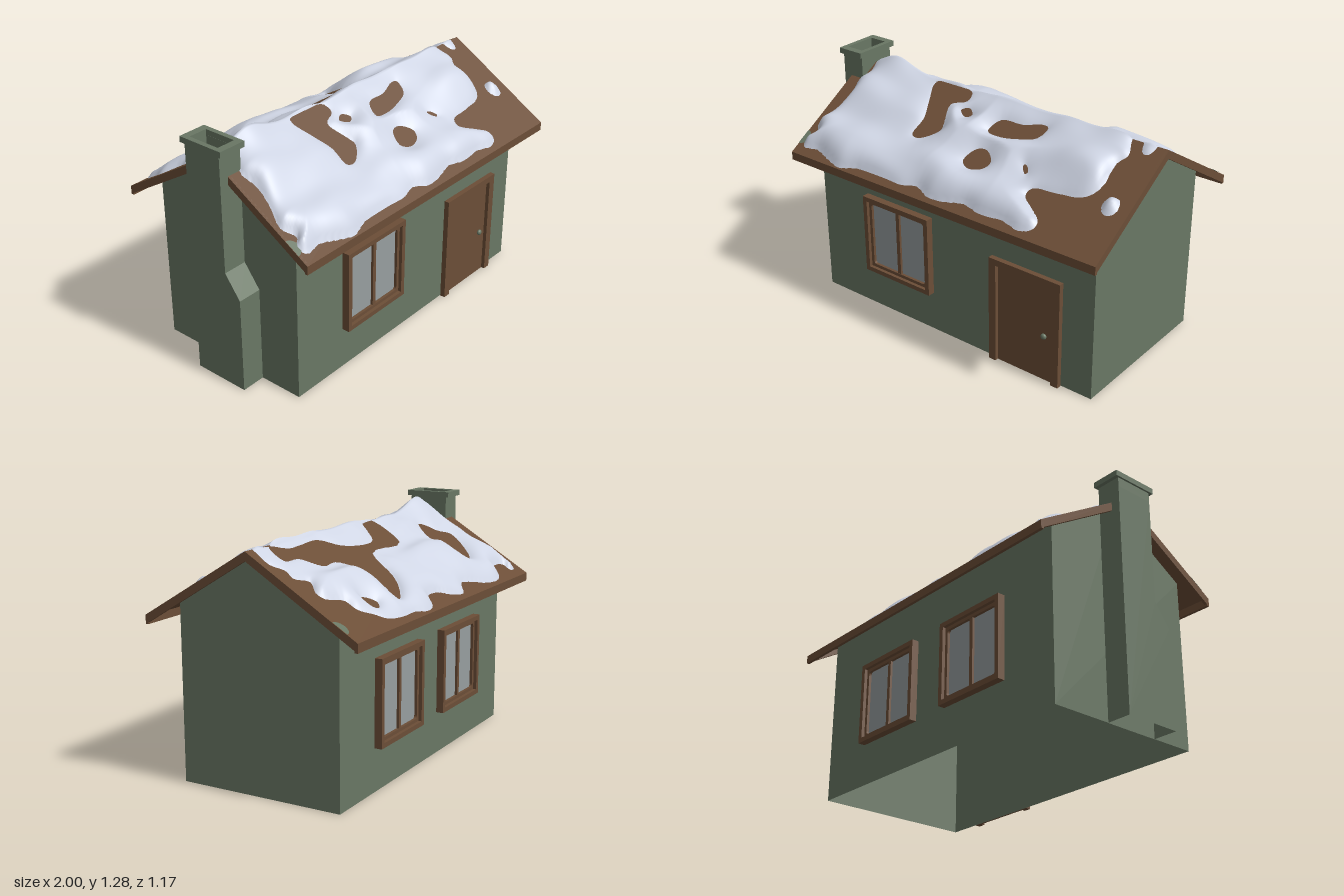
import * as THREE from 'three';

const mat = (name, color, side = THREE.FrontSide) => {
  const m = new THREE.MeshStandardMaterial({ color, side });
  m.name = name;
  return m;
};
const green = mat('wallGreen', 0x697764, THREE.DoubleSide);
const brown = mat('woodBrown', 0x6c4e37);
const white = mat('snowWhite', 0xcfd5e4, THREE.DoubleSide);
const grey = mat('glassGrey', 0x979ea0);

const RIDGE = 1.2, SLOPE = 0.607, EAVE = 0.585;
const roofY = z => RIDGE - SLOPE * Math.abs(z);

function add(parent, name, geometry, material, x = 0, y = 0, z = 0) {
  const mesh = new THREE.Mesh(geometry, material);
  mesh.name = name;
  mesh.position.set(x, y, z);
  parent.add(mesh);
  return mesh;
}
const shapeOf = pts => new THREE.Shape(pts.map(p => new THREE.Vector2(...p)));
const extrude = (shape, depth) =>
  new THREE.ExtrudeGeometry(shape, { depth, bevelEnabled: false, curveSegments: 5 });

// Profile given as [z, y], extruded from x0 to x1
const alongX = (pts, x0, x1) =>
  extrude(shapeOf(pts), x1 - x0).rotateY(-Math.PI / 2).translate(x1, 0, 0);

// The same, without the faces lying on the ground
function openBottom(pts, x0, x1) {
  const p = alongX(pts, x0, x1).getAttribute('position').array, kept = [];
  for (let i = 0; i < p.length; i += 9)
    if (Math.max(p[i + 1], p[i + 4], p[i + 7]) > 1e-5) kept.push(...p.slice(i, i + 9));
  const g = new THREE.BufferGeometry();
  g.setAttribute('position', new THREE.Float32BufferAttribute(kept, 3));
  g.computeVertexNormals();
  return g;
}

// Roof-shaped band of a given vertical thickness
const chevron = t => [[0, RIDGE], [-EAVE, .845], [-EAVE, .845 - t], [0, RIDGE - t], [EAVE, .845 - t], [EAVE, .845]];

function rect(w, h, r = 0, Type = THREE.Shape) {
  const s = new Type(), a = w / 2, b = h / 2;
  if (!r) {
    s.moveTo(-a, -b).lineTo(a, -b).lineTo(a, b).lineTo(-a, b).closePath();
    return s;
  }
  s.moveTo(-a + r, -b).lineTo(a - r, -b).quadraticCurveTo(a, -b, a, -b + r)
    .lineTo(a, b - r).quadraticCurveTo(a, b, a - r, b)
    .lineTo(-a + r, b).quadraticCurveTo(-a, b, -a, b - r)
    .lineTo(-a, -b + r).quadraticCurveTo(-a, -b, -a + r, -b);
  return s;
}
function ring(w, h, iw, ih, depth, r = 0) {
  const s = rect(w, h);
  s.holes.push(rect(iw, ih, r, THREE.Path));
  return extrude(s, depth);
}

// Window facing +z, with its back on z = 0
function makeWindow(name) {
  const g = new THREE.Group();
  g.name = name;
  add(g, 'windowFrame', ring(0.445, 0.445, 0.395, 0.395, 0.04), brown);
  add(g, 'windowSash', ring(0.395, 0.395, 0.36, 0.36, 0.022, 0.018), brown);
  add(g, 'windowBar', new THREE.BoxGeometry(0.022, 0.37, 0.018), brown, 0, 0, 0.011);
  add(g, 'windowGlass', new THREE.BoxGeometry(0.385, 0.39, 0.006), grey, 0, 0, 0.004);
  return g;
}

// Snow patches and bare holes as [x, distance from ridge]; negative distances run over the ridge
const smooth = poly => {
  const curve = new THREE.CatmullRomCurve3(poly.map(p => new THREE.Vector3(...p, 0)), true);
  return curve.getPoints(poly.length * 4).slice(0, -1).map(v => [v.x, v.y]);
};
const frontSnow = {
  patches: [
    [[-.85, -.2], [-.85, 0], [-.84, .06], [-.87, .13], [-.85, .2], [-.87, .3], [-.91, .4], [-.87, .46], [-.91, .5],
      [-.89, .54], [-.8, .53], [-.7, .555], [-.6, .575], [-.5, .55], [-.3, .545], [-.2, .55], [-.1, .53], [0, .56],
      [.1, .55], [.2, .53], [.3, .545], [.45, .54], [.55, .555], [.61, .53], [.61, .49], [.55, .45], [.47, .4],
      [.48, .36], [.6, .345], [.75, .32], [.8, .26], [.8, .13], [.83, .08], [.8, 0], [.8, -.2]],
    [[.86, -.1], [.87, .02], [.89, .05], [.92, .05], [.94, 0], [.94, -.1]],
    [[.855, .32], [.875, .285], [.92, .285], [.94, .33], [.92, .36], [.88, .36]]].map(smooth),
  holes: [
    [[-.41, .01], [-.17, .01], [-.16, .06], [-.24, .1], [-.2, .2], [-.19, .24], [-.28, .31], [-.33, .3], [-.33, .21], [-.37, .12]],
    [[-.16, .11], [-.12, .09], [-.08, .12], [-.11, .14]],
    [[.06, .17], [.09, .1], [.22, .09], [.33, .06], [.36, .07], [.34, .13], [.24, .165], [.15, .18]],
    [[.04, .34], [.07, .27], [.13, .26], [.19, .31], [.17, .35], [.09, .37]],
    [[.36, .265], [.39, .275], [.41, .31], [.38, .295]]].map(smooth)
};
const backSnow = {
  patches: [
    [[-.85, -.2], [-.85, .1], [-.87, .2], [-.85, .3], [-.9, .4], [-.88, .46], [-.87, .535], [-.82, .53], [-.82, .49],
      [-.7, .48], [-.66, .53], [-.58, .56], [-.45, .55], [-.35, .52], [-.24, .5], [-.15, .555], [-.05, .54], [.05, .5],
      [.15, .5], [.2, .55], [.28, .57], [.38, .55], [.5, .55], [.63, .53], [.68, .49], [.75, .44], [.76, .38],
      [.87, .34], [.88, .3], [.83, .24], [.91, .2], [.9, .15], [.95, .1], [.94, 0], [.94, -.2]]].map(smooth),
  holes: [
    [[-.17, .17], [.16, .19], [.22, .34], [.3, .42], [.4, .465], [.38, .33], [.42, .23], [.5, .18], [.62, .18],
      [.72, .11], [.83, .1], [.82, .01], [.7, .045], [.57, .04], [.43, .04], [.32, .1], [.16, .13], [.03, .12],
      [-.03, .05], [-.06, .01], [-.17, .01]],
    [[-.71, .22], [-.64, .35], [-.58, .39], [-.52, .37], [-.51, .25], [-.47, .2], [-.53, .1], [-.58, .12], [-.62, .17]],
    [[.56, .44], [.6, .47], [.63, .45], [.63, .39], [.58, .41]]].map(smooth)
};

// Signed distance to a polygon, positive inside
function inside(poly, x, y) {
  let best = Infinity, isIn = false;
  poly.forEach(([ax, ay], i) => {
    const [bx, by] = poly[(i + 1) % poly.length];
    const dx = bx - ax, dy = by - ay;
    const t = THREE.MathUtils.clamp(((x - ax) * dx + (y - ay) * dy) / (dx * dx + dy * dy || 1), 0, 1);
    best = Math.min(best, Math.hypot(x - ax - t * dx, y - ay - t * dy));
    if ((ay > y) !== (by > y) && x < ax + (y - ay) / dy * dx) isIn = !isIn;
  });
  return isIn ? best : -best;
}

// Deepest snow for each z, from the back eave to the front eave
const depthCurve = new THREE.SplineCurve([[-.6, .05], [-.48, .075], [-.36, .09], [-.28, .08], [-.19, .025], [-.1, .05],
  [0, .05], [.1, .055], [.21, .085], [.33, .05], [.45, .085], [.6, .08]].map(p => new THREE.Vector2(...p)));
const depths = depthCurve.getPoints(120);
function deepest(z) {
  const k = Math.max(1, depths.findIndex(p => p.x >= z)), a = depths[k - 1], b = depths[k];
  return THREE.MathUtils.mapLinear(z, a.x, b.x, a.y, b.y);
}

// Snow height over the roof: lumpy, thinning out towards edges and holes
function snowHeight(x, z) {
  const side = z >= 0 ? frontSnow : backSnow, d = Math.abs(z);
  const edge = Math.max(...side.patches.map(p => inside(p, x, d)));
  const hole = Math.min(...side.holes.map(p => -inside(p, x, d)));
  const nearest = Math.min(edge, hole);
  if (nearest <= 0) return Math.max(nearest * 0.6, -0.008);
  const lumps = deepest(z) * (0.72 + 0.2 * Math.sin(7 * x + 2 * Math.sin(6 * z))
    + 0.12 * Math.sin(16 * x + 1) * Math.cos(12 * z + 2 * x));
  const crest = 0.02 + 0.006 * Math.sin(19 * x) + 0.055 * Math.exp(-(((x + 0.7) / 0.11) ** 2));
  const full = THREE.MathUtils.lerp(lumps, crest, Math.exp(-((z / 0.08) ** 2)));
  return full * (1 - Math.exp(-edge / 0.03)) * (1 - Math.exp(-hole / 0.07));
}

function snowGeometry() {
  const NX = 180, NZ = 116, pos = [], index = [], h = [];
  for (let j = 0; j <= NZ; j++) for (let i = 0; i <= NX; i++) {
    const x = -0.93 + 1.9 * i / NX, z = -0.58 + 1.16 * j / NZ;
    const height = snowHeight(x, z);
    h.push(height);
    pos.push(x, roofY(z) + height, z);
  }
  const tri = (...t) => { if (t.some(k => h[k] > 0)) index.push(...t); };
  for (let j = 0; j < NZ; j++) for (let i = 0; i < NX; i++) {
    const a = j * (NX + 1) + i, b = a + NX + 1;
    tri(a, b, a + 1);
    tri(b, b + 1, a + 1);
  }
  const g = new THREE.BufferGeometry();
  g.setAttribute('position', new THREE.Float32BufferAttribute(pos, 3));
  g.setIndex(index);
  g.computeVertexNormals();
  return g;
}

export function createModel() {
  const house = new THREE.Group();
  house.name = 'snowyCottage';

  // Walls, open underneath
  add(house, 'walls', openBottom([[-.442, 0], [.442, 0], [.442, .915], [0, 1.184], [-.442, .915]], -0.858, 0.914), green);

  // Thin roof with a deeper rim all around
  add(house, 'roofSheet', alongX(chevron(0.014), -0.94, 1), brown);
  for (const x of [-0.94, 0.984]) add(house, 'gableRim', alongX(chevron(0.045), x, x + 0.016), brown);
  for (const s of [1, -1])
    add(house, 'eaveRim', new THREE.BoxGeometry(1.94, 0.044, 0.016), brown, 0.03, 0.822, s * (EAVE - 0.008));
  add(house, 'snow', snowGeometry(), white);

  // Small mossy patches at two roof edges
  for (const s of [1, -1]) {
    const disc = new THREE.CircleGeometry(0.045, 12, s * Math.PI / 2 - Math.PI, Math.PI).rotateX(-Math.PI / 2);
    const patch = add(house, 'roofPatch', disc, green, s > 0 ? -0.94 : 1, roofY(0.495) + 0.003, s * 0.495);
    patch.rotation.x = s * Math.atan(SLOPE);
  }

  // Chimney with a sloping shoulder, hollow top and cap
  add(house, 'chimneyBase',
    openBottom([[-.11, 0], [.2, 0], [.2, .52], [.11, .64], [.11, 1.205], [-.11, 1.205]], -0.99, -0.856), green);
  add(house, 'chimneyTop', ring(0.134, 0.22, 0.102, 0.18, 0.05).rotateX(-Math.PI / 2), green, -0.923, 1.205, 0);
  add(house, 'chimneyCap', ring(0.155, 0.26, 0.102, 0.18, 0.03).rotateX(-Math.PI / 2), green, -0.9225, 1.255, 0);

  // One window in front, two behind
  for (const [name, x, s] of [['frontWindow', -0.308, 1], ['backWindowRight', -0.303, -1], ['backWindowLeft', 0.368, -1]]) {
    const w = makeWindow(name);
    w.position.set(x, 0.4475, s * 0.444);
    if (s < 0) w.rotation.y = Math.PI;
    house.add(w);
  }

  // Door
  const door = new THREE.Group();
  door.name = 'door';
  house.add(door);
  add(door, 'doorFrame', extrude(shapeOf([[.305, 0], [.347, 0], [.347, .56], [.692, .56], [.692, 0], [.735, 0],
    [.735, .595], [.305, .595]]), 0.028), brown, 0, 0, 0.445);
  add(door, 'doorPanel', new THREE.BoxGeometry(0.345, 0.56, 0.008), brown, 0.5195, 0.28, 0.449);
  add(door, 'knob', new THREE.SphereGeometry(0.016, 14, 10).scale(1, 1, 0.7), green, 0.637, 0.26, 0.461);

  return house;
}
